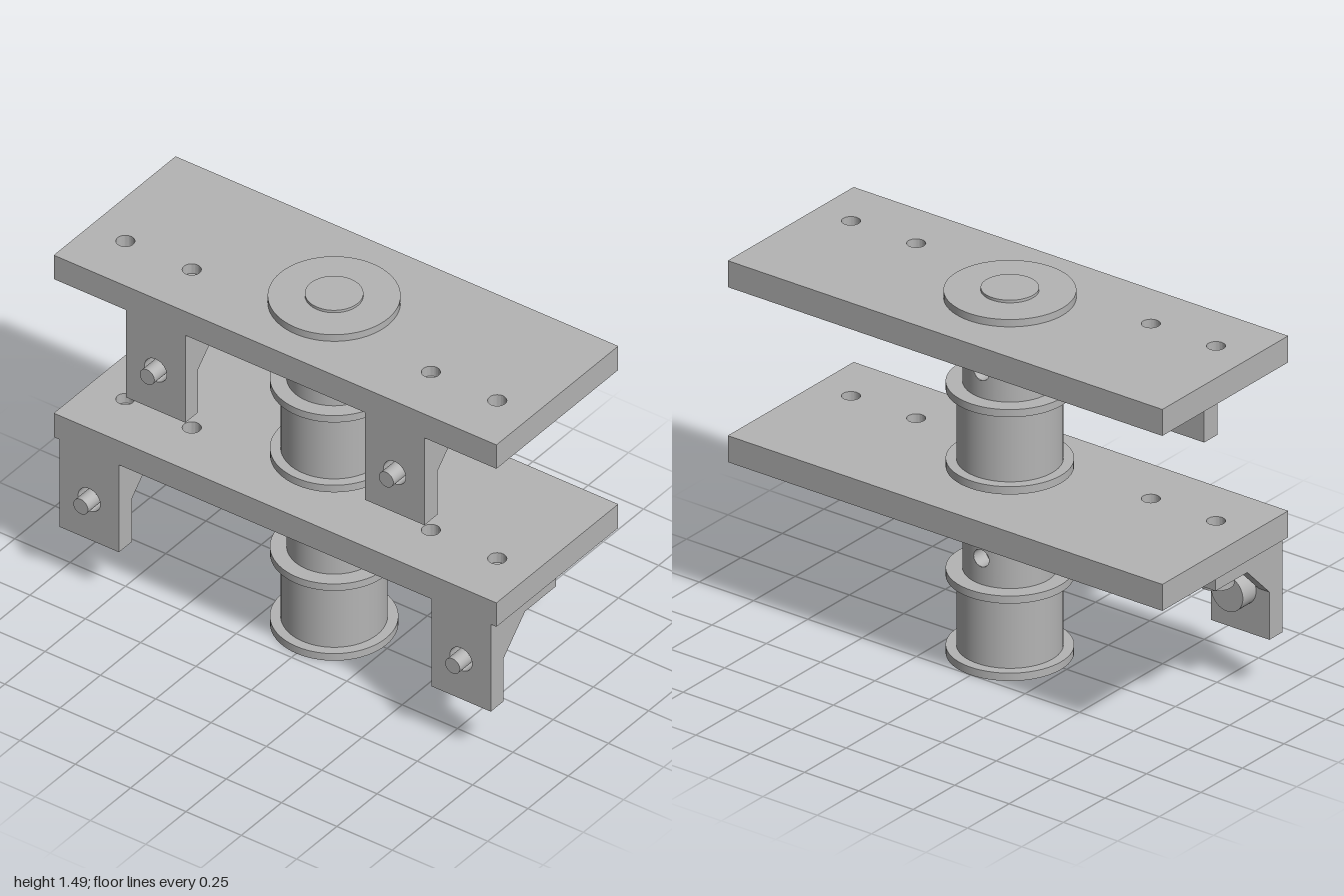
import * as THREE from 'three';
import { toCreasedNormals } from 'three/addons/utils/BufferGeometryUtils.js';

const steel = new THREE.MeshStandardMaterial({ color: 0xb4b4b4, side: THREE.DoubleSide });
steel.name = 'grey steel';
const AXIS_Z = -0.015;

function add(parent, name, geometry, x = 0, y = 0, z = 0) {
  const mesh = new THREE.Mesh(geometry, steel);
  mesh.name = name;
  mesh.position.set(x, y, z);
  parent.add(mesh);
  return mesh;
}

// upright disc or cylinder between two heights
function disc(parent, name, r, y0, y1, x = 0, z = 0) {
  return add(parent, name, new THREE.CylinderGeometry(r, r, y1 - y0, 64), x, (y0 + y1) / 2, z);
}

function rect(x0, y0, x1, y1) {
  return new THREE.Shape([[x0, y0], [x1, y0], [x1, y1], [x0, y1]].map(p => new THREE.Vector2(...p)));
}

function roundHole(shape, x, y, r) {
  shape.holes.push(new THREE.Path().absarc(x, y, r, 0, Math.PI * 2, true));
}

function extrude(shape, depth) {
  const g = new THREE.ExtrudeGeometry(shape, { depth, bevelEnabled: false, curveSegments: 32 });
  return toCreasedNormals(g, 0.6);
}

// slab lying flat: shape y becomes -z
function flatSlab(shape, thickness) {
  return extrude(shape, thickness).rotateX(-Math.PI / 2);
}

// quarter of a cylinder wall with a round hole in its middle
function piercedQuarter(R, h, hole) {
  const N = 48, M = 8, pos = [], nor = [], idx = [];
  for (let i = 0; i <= N; i++) {
    const f = (i / N) * Math.PI * 2, c = Math.cos(f), s = Math.sin(f);
    const k = Math.max(Math.abs(c), Math.abs(s));
    for (let j = 0; j <= M; j++) {
      const t = j / M;
      const u = THREE.MathUtils.lerp(hole * c, (c / k) * R * Math.PI / 4, t);
      const v = THREE.MathUtils.lerp(hole * s, (s / k) * h / 2, t);
      const a = u / R;
      pos.push(R * Math.cos(a), v, -R * Math.sin(a));
      nor.push(Math.cos(a), 0, -Math.sin(a));
      if (i < N && j < M) {
        const p = i * (M + 1) + j, q = p + M + 1;
        idx.push(p, p + 1, q + 1, p, q + 1, q);
      }
    }
  }
  const g = new THREE.BufferGeometry();
  g.setAttribute('position', new THREE.Float32BufferAttribute(pos, 3));
  g.setAttribute('normal', new THREE.Float32BufferAttribute(nor, 3));
  g.setIndex(idx);
  return g;
}

// hub with set-screw holes on its left and back
function makeHub(y0, y1) {
  const R = 0.174, h = y1 - y0, r = 0.035, hub = new THREE.Group();
  hub.name = 'hub';
  hub.position.y = (y0 + y1) / 2;
  for (const turn of [0, Math.PI / 2]) {
    add(hub, 'hubWall', piercedQuarter(R, h, r)).rotation.y = turn;
    const bore = new THREE.CylinderGeometry(r, r, 0.074, 32, 1, true).rotateZ(Math.PI / 2).translate(0.135, 0, 0);
    add(hub, 'setScrewHole', bore).rotation.y = turn;
  }
  // plain half of the wall, from the front round to the right side
  add(hub, 'hubWall', new THREE.CylinderGeometry(R, R, h, 48, 1, true, -Math.PI * 3 / 4, Math.PI));
  add(hub, 'hubTop', new THREE.RingGeometry(0.1, R, 64).rotateX(-Math.PI / 2), 0, h / 2);
  return hub;
}

// flanged pulley standing at height y
function makePulley(y) {
  const g = new THREE.Group();
  g.name = 'pulley';
  g.position.set(0, y, AXIS_Z);
  disc(g, 'lowerFlange', 0.235, 0, 0.032);
  disc(g, 'drum', 0.196, 0.032, 0.316);
  disc(g, 'upperFlange', 0.235, 0.316, 0.347);
  g.add(makeHub(0.347, 0.559));
  return g;
}

// deck plate with four bolt holes
function makePlate(y) {
  const shape = rect(-1, -0.352, 1, 0.405);
  for (const x of [-0.84, -0.54, 0.54, 0.84]) roundHole(shape, x, -0.127, 0.035);
  const g = new THREE.Group();
  add(g, 'plate', flatSlab(shape, 0.108), 0, y, 0);
  return g;
}

// bolt with its head below the origin and its shank pointing up
function makeBolt(headRadius) {
  const g = new THREE.Group();
  g.name = 'bolt';
  disc(g, 'boltHead', headRadius, -0.079, 0);
  disc(g, 'boltShank', 0.033, 0, 0.133);
  return g;
}

// angle bracket hanging from a plate whose underside is the origin
function makeBracket(x, y) {
  const g = new THREE.Group(), w = 0.1345;
  g.name = 'bracket';
  g.position.set(x, y, 0);
  // horizontal leg with a slot
  const leg = rect(-w, -0.272, w, 0.052);
  const slot = new THREE.Path();
  slot.absarc(0, -0.127, 0.045, Math.PI, Math.PI * 2, false);
  slot.absarc(0, -0.075, 0.045, 0, Math.PI, false);
  slot.closePath();
  leg.holes.push(slot);
  add(g, 'bracketTop', flatSlab(leg, 0.067), 0, -0.067, 0);
  // vertical leg with a clearance hole
  const front = rect(-w, -0.395, w, 0);
  roundHole(front, 0, -0.215, 0.05);
  add(g, 'bracketFront', extrude(front, 0.08), 0, 0, 0.272);
  // side gussets, drawn in (-z, y)
  const tri = new THREE.Shape([[-0.272, -0.2], [-0.139, -0.067], [-0.272, -0.067]].map(p => new THREE.Vector2(...p)));
  for (const gx of [-w, w - 0.05]) {
    add(g, 'gusset', extrude(tri, 0.05).rotateY(Math.PI / 2), gx, 0, 0);
  }
  const up = makeBolt(0.067);
  up.position.set(0, -0.067, 0.127);
  const out = makeBolt(0.073);
  out.rotation.x = Math.PI / 2;
  out.position.set(0, -0.215, 0.272);
  g.add(up, out);
  return g;
}

export function createModel() {
  const model = new THREE.Group();
  model.name = 'pulleyStand';
  const lowerY = 0.628, upperY = 1.343;
  model.add(makePlate(lowerY), makePlate(upperY), makePulley(0), makePulley(0.762));
  for (const side of [-1, 1]) {
    model.add(makeBracket(side * 0.84, lowerY), makeBracket(side * 0.54, upperY));
  }
  // central shaft and flanged bearings
  disc(model, 'shaft', 0.107, 0.01, 1.492, 0, AXIS_Z);
  disc(model, 'lowerBearingFlange', 0.243, 0.6, lowerY, 0, AXIS_Z);
  disc(model, 'lowerBearingCollar', 0.147, 0.571, 0.6, 0, AXIS_Z);
  disc(model, 'lowerBearingTop', 0.147, 0.73, 0.762, 0, AXIS_Z);
  disc(model, 'upperBearingCollar', 0.147, 1.321, upperY, 0, AXIS_Z);
  disc(model, 'upperBearingFlange', 0.243, 1.451, 1.481, 0, AXIS_Z);
  return model;
}
